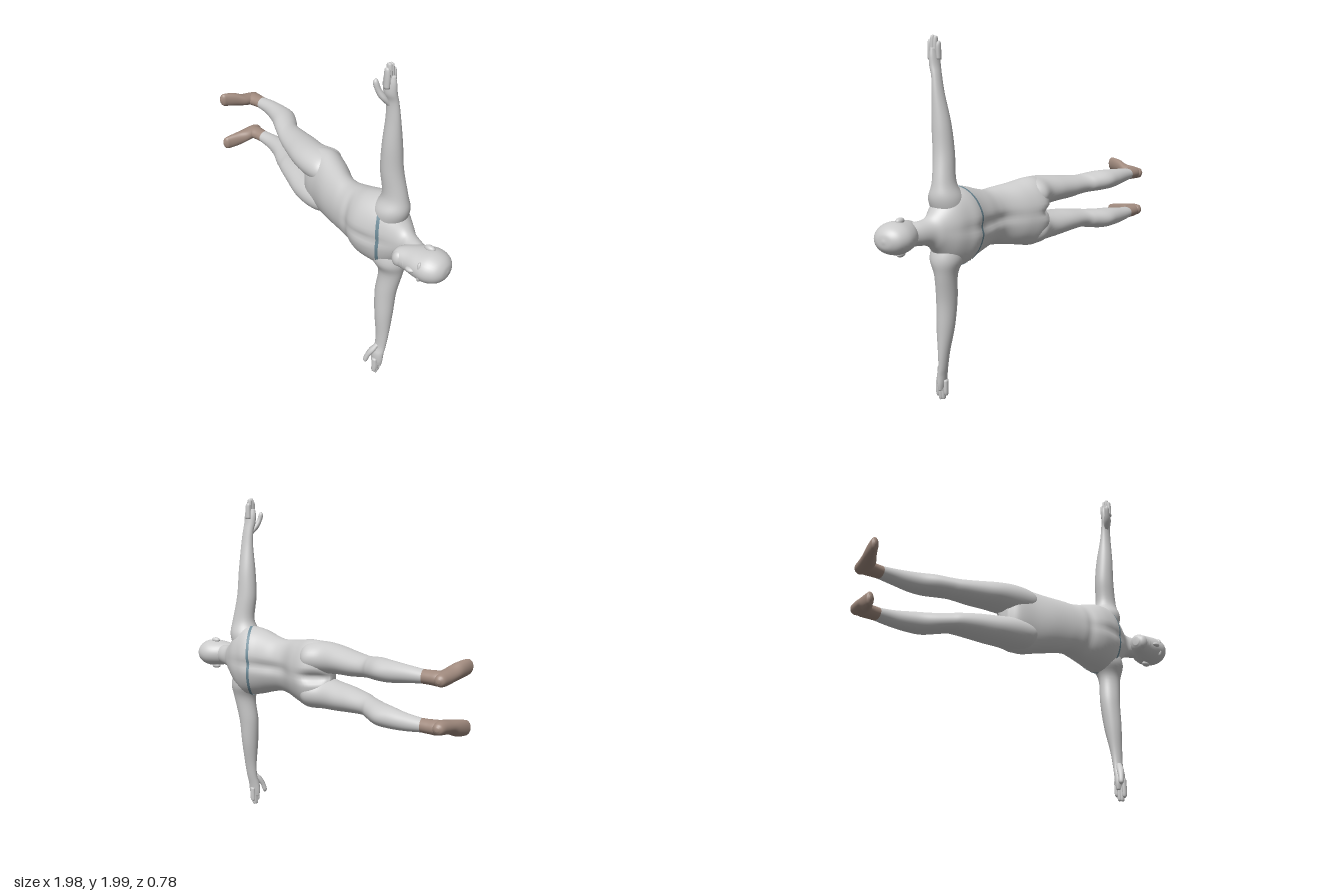
import * as THREE from 'three';

const grey = new THREE.MeshStandardMaterial({ color: 0xcccccc });
const tan = new THREE.MeshStandardMaterial({ color: 0xa08a7e });
const teal = new THREE.MeshStandardMaterial({ color: 0x6f8c99 });
const MID = 1; // height of the body's plane of symmetry

// Smooth interpolation of sections [x, y, z, ru, rv]
function sampler(sections) {
  const c = new THREE.CatmullRomCurve3(sections.map(s => new THREE.Vector3(s[0], s[1], s[2])), false, 'catmullrom', 0.5);
  const r = new THREE.CatmullRomCurve3(sections.map(s => new THREE.Vector3(s[3], s[4], 0)), false, 'catmullrom', 0.5);
  return t => ({ c: c.getPoint(t), r: r.getPoint(t) });
}

// Skin of elliptical sections; u and v are the names of the section's axes
function loft(name, sections, u, v, material = grey, shape = null, sides = 40) {
  const at = sampler(sections), rows = (sections.length - 1) * 6;
  const pos = [], idx = [];
  for (let i = 0; i <= rows; i++) {
    const { c, r } = at(i / rows);
    for (let j = 0; j < sides; j++) {
      const a = (j / sides) * Math.PI * 2;
      const p = c.clone();
      p[u] += Math.max(r.x, 0.002) * Math.cos(a);
      p[v] += Math.max(r.y, 0.002) * Math.sin(a);
      if (shape) shape(p, c, Math.sin(a));
      pos.push(p.x, p.y, p.z);
    }
  }
  const first = at(0).c, last = at(1).c;
  pos.push(...first.toArray(), ...last.toArray());
  // Wind the faces outward whichever way the sections advance
  const unit = k => new THREE.Vector3(+(k === 'x'), +(k === 'y'), +(k === 'z'));
  const flip = unit(u).cross(unit(v)).dot(last.clone().sub(first)) < 0;
  const tri = (a, b, c) => (flip ? idx.push(a, c, b) : idx.push(a, b, c));
  const end = (rows + 1) * sides;
  for (let j = 0; j < sides; j++) {
    const k = (j + 1) % sides;
    for (let i = 0; i < rows; i++) {
      const a = i * sides + j, b = i * sides + k;
      tri(a, b, b + sides);
      tri(a, b + sides, a + sides);
    }
    tri(end, k, j);
    tri(end + 1, rows * sides + j, rows * sides + k);
  }
  const g = new THREE.BufferGeometry();
  g.setAttribute('position', new THREE.Float32BufferAttribute(pos, 3));
  g.setIndex(idx);
  g.computeVertexNormals();
  const m = new THREE.Mesh(g, material);
  m.name = name;
  return m;
}

function ellipsoid(name, x, y, z, rx, ry, rz) {
  const m = new THREE.Mesh(new THREE.SphereGeometry(1, 24, 16), grey);
  m.position.set(x, y, z);
  m.scale.set(rx, ry, rz);
  m.name = name;
  return m;
}

const bell = (d, w) => Math.exp(-(d * d) / (w * w));

// Trunk from crotch to neck
const TRUNK = [
  [-0.14, MID, -0.03, 0.1, 0.04], [-0.1, MID, -0.02, 0.182, 0.09], [0, MID, -0.015, 0.2, 0.133],
  [0.1, MID, 0.035, 0.182, 0.135], [0.2, MID, 0.095, 0.166, 0.115], [0.27, MID, 0.12, 0.16, 0.118],
  [0.35, MID, 0.14, 0.178, 0.135], [0.42, MID, 0.155, 0.2, 0.146], [0.5, MID, 0.155, 0.216, 0.148],
  [0.56, MID, 0.16, 0.215, 0.13], [0.62, MID, 0.165, 0.17, 0.108], [0.68, MID, 0.18, 0.1, 0.075],
  [0.72, MID, 0.205, 0.07, 0.062], [0.78, MID, 0.235, 0.062, 0.06], [0.84, MID, 0.26, 0.05, 0.05],
];

// Spine, buttock cleft, breastbone and lower chest grooves
function trunkRelief(p, c, s) {
  const d = p.y - MID;
  if (s < 0) p.z -= s * (0.02 * bell(d, 0.03) * bell(p.x - 0.35, 0.2) + 0.045 * bell(d, 0.025) * bell(p.x + 0.06, 0.08));
  else p.z -= s * (0.012 * bell(d, 0.025) * bell(p.x - 0.48, 0.12) + 0.012 * bell(p.x - 0.33, 0.025));
}

// Thin band round the chest, higher in front than behind
function chestBand() {
  const at = sampler(TRUNK), n = 72, pos = [], idx = [];
  const paramFor = x => {
    let lo = 0, hi = 1;
    for (let i = 0; i < 24; i++) {
      const m = (lo + hi) / 2;
      if (at(m).c.x < x) lo = m; else hi = m;
    }
    return lo;
  };
  for (let j = 0; j <= n; j++) {
    const a = (j / n) * Math.PI * 2, s = Math.sin(a);
    for (const w of [-0.009, 0.009]) {
      const { c, r } = at(paramFor(0.515 + 0.05 * s + w));
      const p = new THREE.Vector3(c.x, c.y + (r.x + 0.002) * Math.cos(a), c.z + (r.y + 0.002) * s);
      trunkRelief(p, c, s);
      pos.push(p.x, p.y, p.z);
    }
    if (j < n) idx.push(2 * j, 2 * j + 2, 2 * j + 1, 2 * j + 1, 2 * j + 2, 2 * j + 3);
  }
  const g = new THREE.BufferGeometry();
  g.setAttribute('position', new THREE.Float32BufferAttribute(pos, 3));
  g.setIndex(idx);
  g.computeVertexNormals();
  const m = new THREE.Mesh(g, teal.clone());
  m.material.side = THREE.DoubleSide;
  m.name = 'chestBand';
  return m;
}

function head() {
  const g = new THREE.Group();
  g.name = 'head';
  g.add(loft('skull', [
    [0.69, MID, 0.312, 0.025, 0.022], [0.715, MID, 0.303, 0.052, 0.05], [0.78, MID, 0.283, 0.07, 0.078],
    [0.84, MID, 0.275, 0.08, 0.1], [0.9, MID, 0.273, 0.084, 0.106], [0.95, MID, 0.272, 0.068, 0.086],
    [0.978, MID, 0.272, 0.04, 0.05], [0.987, MID, 0.272, 0.006, 0.006],
  ], 'y', 'z'));
  g.add(ellipsoid('nose', 0.825, MID, 0.366, 0.028, 0.014, 0.02));
  g.add(ellipsoid('mouth', 0.775, MID, 0.347, 0.013, 0.028, 0.014));
  g.add(ellipsoid('beard', 0.73, MID, 0.328, 0.036, 0.045, 0.034));
  for (const s of [1, -1]) {
    g.add(ellipsoid('ear', 0.865, MID + s * 0.085, 0.258, 0.03, 0.017, 0.018));
    g.add(ellipsoid('brow', 0.872, MID + s * 0.03, 0.358, 0.012, 0.028, 0.016));
  }
  return g;
}

// s = 1 for the upper side, -1 for the lower; offsets are from the mid plane
const side = (s, list) => list.map(([x, y, z, a, b]) => [x, MID + s * y, z, a, b]);

function arm(s) {
  const g = new THREE.Group();
  g.name = s > 0 ? 'upperArmSide' : 'lowerArmSide';
  g.add(loft('arm', side(s, [
    [0.55, 0.06, 0.165, 0.085, 0.09], [0.572, 0.16, 0.172, 0.092, 0.1], [0.588, 0.25, 0.172, 0.061, 0.071],
    [0.569, 0.4, 0.183, 0.056, 0.062], [0.57, 0.55, 0.193, 0.05, 0.053], [0.575, 0.7, 0.205, 0.031, 0.04],
    [0.572, 0.79, 0.214, 0.024, 0.035], [0.566, 0.84, 0.226, 0.026, 0.037], [0.563, 0.89, 0.23, 0.022, 0.038],
    [0.562, 0.93, 0.23, 0.014, 0.032],
  ]), 'z', 'x').rotateY(0));
  // Four closed fingers and the thumb
  [[0.204, 0.965], [0.222, 0.99], [0.24, 0.994], [0.256, 0.975]].forEach(([z, tip]) => {
    g.add(loft('finger', side(s, [
      [0.563, 0.87, z, 0.012, 0.016], [0.564, 0.93, z, 0.012, 0.017], [0.562, tip - 0.01, z, 0.01, 0.014],
      [0.561, tip, z, 0.003, 0.004],
    ]), 'z', 'x', grey, null, 12));
  });
  g.add(loft('thumb', side(s, [
    [0.562, 0.775, 0.228, 0.012, 0.012], [0.542, 0.815, 0.25, 0.02, 0.02], [0.522, 0.86, 0.267, 0.016, 0.016],
    [0.513, 0.895, 0.273, 0.014, 0.014], [0.514, 0.912, 0.273, 0.004, 0.004],
  ]), 'z', 'x', grey, null, 16));
  return g;
}

function leg(s) {
  const g = new THREE.Group();
  g.name = s > 0 ? 'upperLegSide' : 'lowerLegSide';
  g.add(loft('leg', side(s, [
    [0.06, 0.1, 0.0, 0.06, 0.08], [0, 0.102, -0.015, 0.09, 0.122], [-0.1, 0.104, -0.02, 0.09, 0.113],
    [-0.2, 0.106, -0.055, 0.08, 0.112], [-0.3, 0.103, -0.1, 0.07, 0.1], [-0.4, 0.105, -0.147, 0.058, 0.086],
    [-0.45, 0.112, -0.187, 0.057, 0.09], [-0.52, 0.12, -0.24, 0.06, 0.092], [-0.6, 0.122, -0.28, 0.057, 0.07],
    [-0.7, 0.126, -0.312, 0.046, 0.05], [-0.8, 0.126, -0.33, 0.035, 0.041], [-0.86, 0.125, -0.338, 0.03, 0.036],
  ]), 'y', 'z'));
  g.add(loft('ankle', side(s, [
    [-0.78, 0.126, -0.327, 0.036, 0.041], [-0.83, 0.126, -0.334, 0.037, 0.045], [-0.88, 0.125, -0.338, 0.038, 0.048],
    [-0.92, 0.125, -0.34, 0.02, 0.025],
  ]), 'y', 'z', tan));
  g.add(loft('foot', side(s, [
    [-0.89, 0.122, -0.396, 0.01, 0.01], [-0.892, 0.122, -0.38, 0.03, 0.029], [-0.893, 0.124, -0.335, 0.043, 0.038],
    [-0.907, 0.133, -0.275, 0.046, 0.038], [-0.932, 0.148, -0.225, 0.037, 0.044],
    [-0.957, 0.158, -0.17, 0.027, 0.043], [-0.966, 0.16, -0.147, 0.022, 0.036], [-0.97, 0.16, -0.135, 0.006, 0.01],
  ]), 'x', 'y', tan));
  return g;
}

export function createModel() {
  const model = new THREE.Group();
  model.name = 'figure';
  model.add(loft('trunk', TRUNK, 'y', 'z', grey, trunkRelief, 64), chestBand(), head());
  for (const s of [1, -1]) model.add(arm(s), leg(s));
  return model;
}
